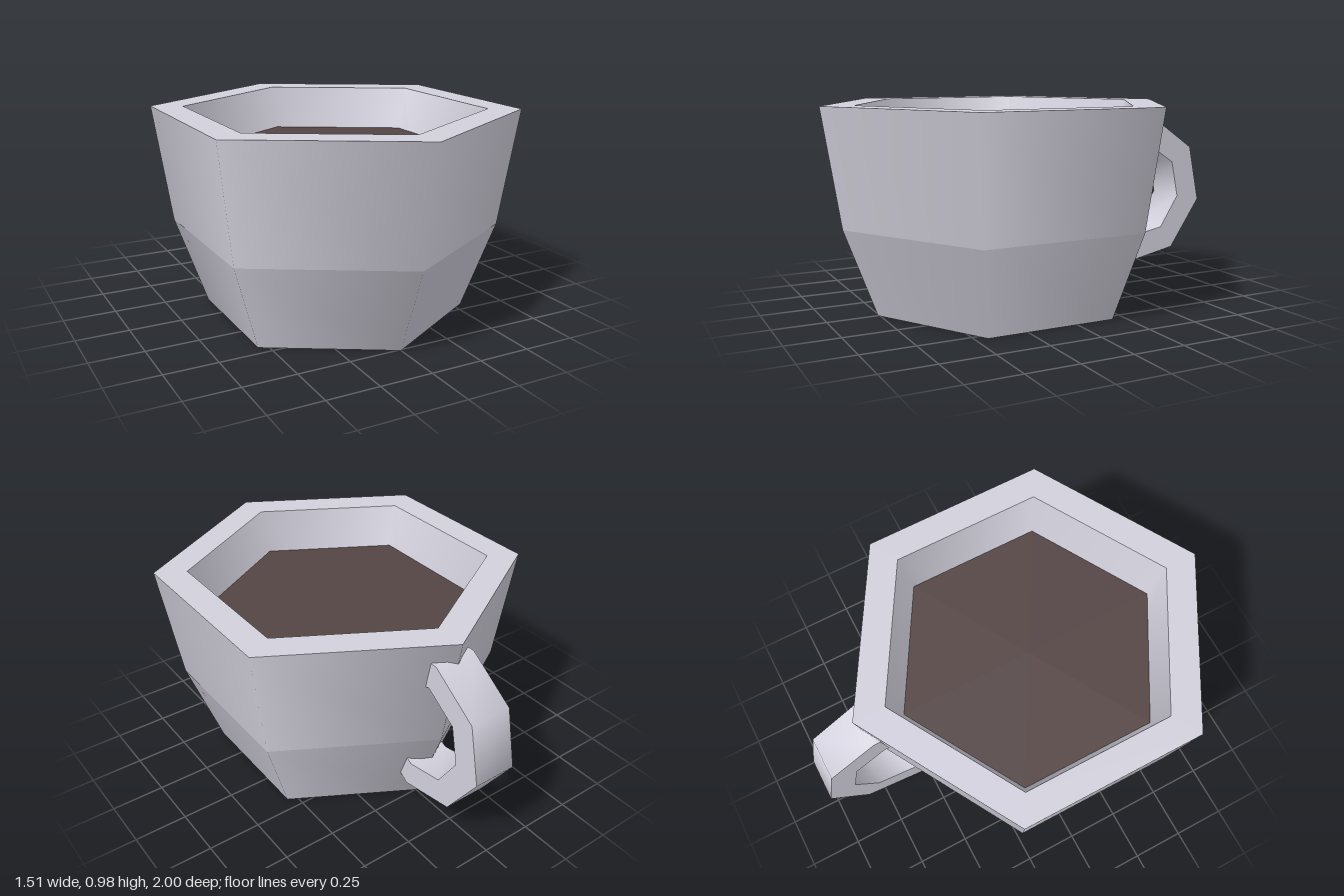
import * as THREE from 'three';
import { toCreasedNormals } from 'three/addons/utils/BufferGeometryUtils.js';

const CUP_Z = 0.128; // the bowl sits forward of centre to make room for the handle

// Six-sided band between two [radius, height] points, smooth around the axis
function hexBand(name, from, to, material) {
  const points = [from, to].map(([r, y]) => new THREE.Vector2(r, y));
  const geometry = new THREE.LatheGeometry(points, 6);
  geometry.normalizeNormals();
  const mesh = new THREE.Mesh(geometry, material);
  mesh.name = name;
  return mesh;
}

export function createModel() {
  const ceramic = new THREE.MeshStandardMaterial({ color: 0xd2d0dc });
  ceramic.name = 'pale ceramic';
  const coffee = new THREE.MeshStandardMaterial({ color: 0x544544 });
  coffee.name = 'dark coffee';

  const model = new THREE.Group();
  model.name = 'cup';

  // Bowl: one closed profile, split into bands so its horizontal edges stay sharp
  const bowl = new THREE.Group();
  bowl.name = 'bowl';
  bowl.position.z = CUP_Z;
  const profile = [[0, 0], [0.63, 0], [0.785, 0.42], [0.872, 0.98], [0.716, 0.98], [0.43, 0.1], [0, 0.1]];
  const names = ['base', 'lowerWall', 'upperWall', 'rim', 'innerWall', 'innerFloor'];
  names.forEach((name, i) => bowl.add(hexBand(name, profile[i], profile[i + 1], ceramic)));

  // Drink surface
  bowl.add(hexBand('coffeeSurface', [0.652, 0.775], [0, 0.775], coffee));
  model.add(bowl);

  // Handle: side outline as [distance behind centre, height], extruded across x
  const outline = [
    [0.673, 0.888], [0.705, 0.888], [0.94, 0.727], [1.0, 0.444], [0.834, 0.198],
    [0.55, 0.139], [0.501, 0.171], [0.544, 0.289], [0.576, 0.273], [0.764, 0.31],
    [0.866, 0.47], [0.828, 0.652], [0.668, 0.759], [0.646, 0.754],
  ];
  const shape = new THREE.Shape(outline.map(([d, y]) => new THREE.Vector2(d, y)));
  const width = 0.21;
  const geometry = new THREE.ExtrudeGeometry(shape, { depth: width, bevelEnabled: false });
  geometry.translate(0, 0, -width / 2);
  geometry.rotateY(Math.PI / 2);
  const handle = new THREE.Mesh(toCreasedNormals(geometry, 1.0), ceramic);
  handle.name = 'handle';
  model.add(handle);

  return model;
}
